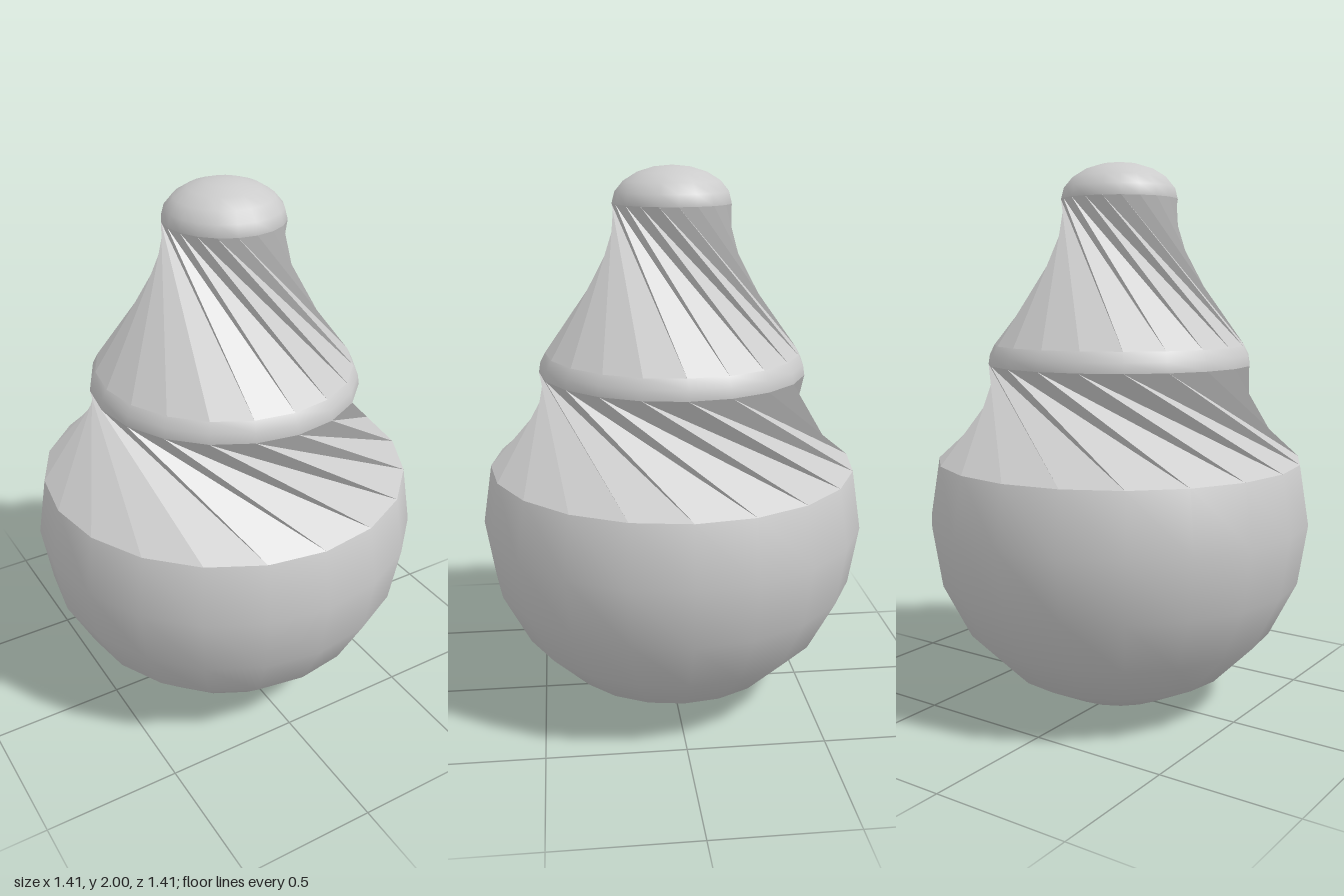
import * as THREE from 'three';

const SIDES = 20;
const STEP = (Math.PI * 2) / SIDES;

// Horizontal slice of a ball, from row `first` spanning `rows` rows of 18 degrees, top down
function ballSlice(name, radius, height, y, first, rows) {
  const geometry = new THREE.SphereGeometry(radius, SIDES, rows, 0, Math.PI * 2, first * STEP, rows * STEP);
  geometry.scale(1, height / radius, 1);
  const mesh = new THREE.Mesh(geometry, new THREE.MeshStandardMaterial({ color: 0xcccccc, side: THREE.DoubleSide }));
  mesh.name = name;
  mesh.position.y = y;
  return mesh;
}

// Faceted skirt joining two rings, the upper one turned by a number of sides
function twistedSkirt(name, r0, y0, r1, y1, turn) {
  const positions = [];
  const corner = (r, y, i) => [r * Math.sin(i * STEP), y, r * Math.cos(i * STEP)];
  for (let i = 0; i < SIDES; i++) {
    const a = corner(r0, y0, i);
    const b = corner(r0, y0, i + 1);
    const c = corner(r1, y1, i - turn);
    const d = corner(r1, y1, i + 1 - turn);
    positions.push(...a, ...b, ...c, ...b, ...d, ...c);
  }
  const geometry = new THREE.BufferGeometry();
  geometry.setAttribute('position', new THREE.Float32BufferAttribute(positions, 3));
  geometry.computeVertexNormals();
  const mesh = new THREE.Mesh(geometry, new THREE.MeshStandardMaterial({
    color: 0xcccccc, flatShading: true, side: THREE.DoubleSide,
  }));
  mesh.name = name;
  return mesh;
}

export function createModel() {
  const group = new THREE.Group();
  group.name = 'twistedOrnament';

  const R = 0.707; // body
  const M = 0.484; // middle collar
  const T = 0.212; // cap
  const rim = Math.cos(STEP);
  const bodyTop = R + R * Math.sin(STEP);
  const collarY = 1.275;
  const collarHeight = 0.23;
  const collarTop = collarY + collarHeight * Math.sin(STEP);
  const capY = 1.87;

  // Round body, collar band and domed cap
  group.add(ballSlice('body', R, R, R, 4, 6));
  group.add(ballSlice('collar', M, collarHeight, collarY, 4, 1));
  group.add(ballSlice('cap', T, 2 - capY, capY, 0, 5));

  // Twisted skirts between them
  group.add(twistedSkirt('lowerSkirt', R * rim, bodyTop, M, collarY, 3));
  group.add(twistedSkirt('upperSkirt', M * rim, collarTop, T, capY, 4));

  return group;
}
